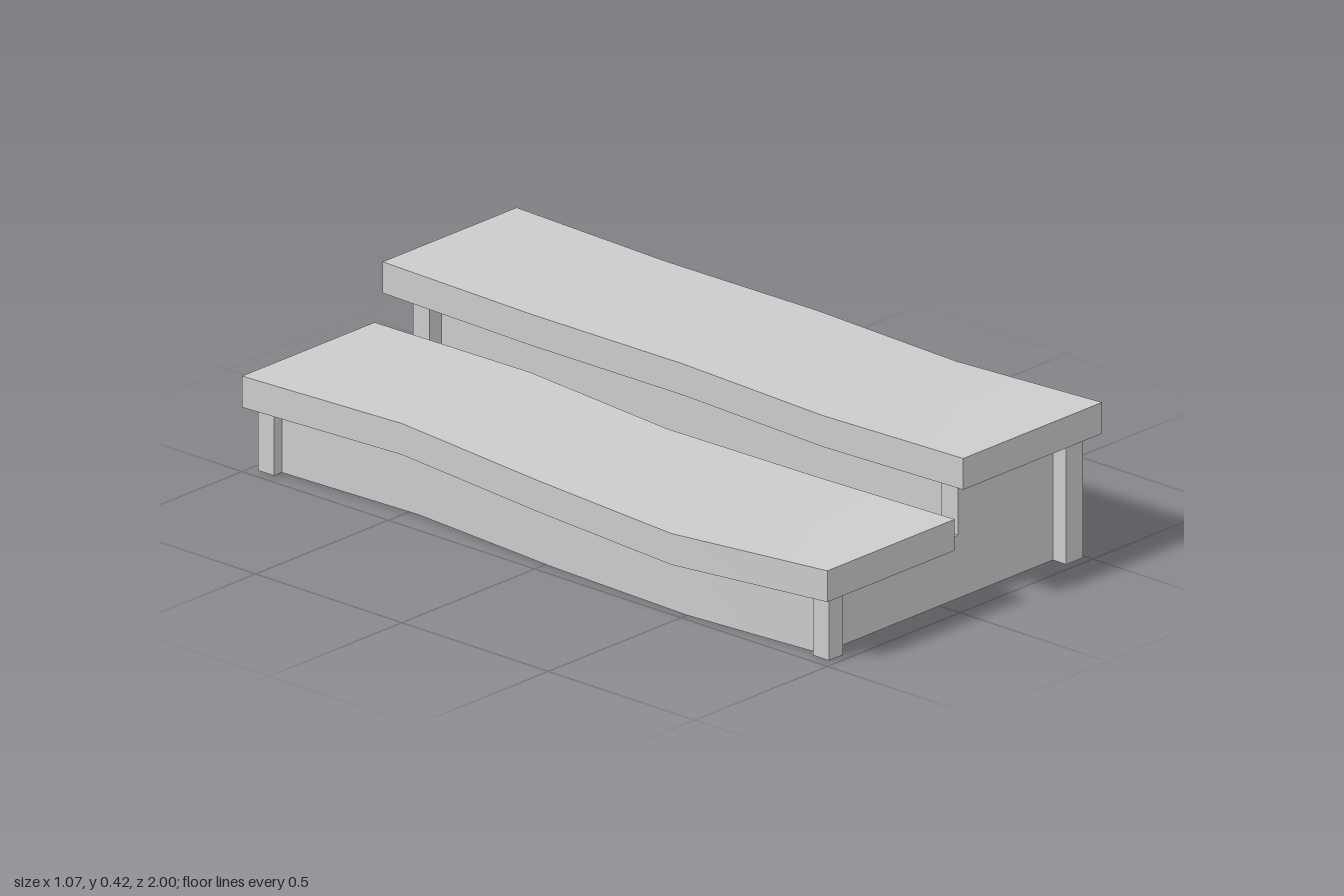
import * as THREE from 'three';
import { toCreasedNormals } from 'three/addons/utils/BufferGeometryUtils.js';

const material = new THREE.MeshStandardMaterial({ color: 0xcccccc });

// Wavy edges sampled at a few stations along the length
const Z = [-1, -0.47, 0.03, 0.5, 1];
const WAVE = {
  upperOuter: [0.535, 0.505, 0.532, 0.535, 0.535],
  upperInner: [0.03, 0.005, 0.03, 0.03, 0.012],
  lowerOuter: [-0.5, -0.48, -0.52, -0.537, -0.5],
  lowerInner: [0, 0, -0.035, 0, -0.02],
  height: [0.331, 0.336, 0.325, 0.311, 0.331], // underside of the upper board
};
const THICK = 0.085; // board thickness
const DROP = 0.156; // upper board to lower board
const INSET = 0.06; // body set in under the boards

function at(name, z) {
  let i = 0;
  while (i < Z.length - 2 && z > Z[i + 1]) i++;
  return THREE.MathUtils.lerp(WAVE[name][i], WAVE[name][i + 1], (z - Z[i]) / (Z[i + 1] - Z[i]));
}

// Closed solid from counter-clockwise xy sections stacked along z
function loft(name, z0, z1, section) {
  const zs = [z0, ...Z.filter((z) => z > z0 && z < z1), z1];
  const rings = zs.map((z) => section(z));
  const n = rings[0].length;
  const positions = rings.flatMap((ring, k) => ring.flatMap(([x, y]) => [x, y, zs[k]]));
  const index = [];
  for (let k = 0; k < zs.length - 1; k++) {
    for (let i = 0; i < n; i++) {
      const a = k * n + i, b = k * n + (i + 1) % n;
      index.push(a, b, b + n, a, b + n, a + n);
    }
  }
  const caps = (ring) => THREE.ShapeUtils.triangulateShape(ring.map(([x, y]) => new THREE.Vector2(x, y)), []);
  const last = (zs.length - 1) * n;
  for (const [a, b, c] of caps(rings[0])) index.push(c, b, a);
  for (const [a, b, c] of caps(rings[zs.length - 1])) index.push(last + a, last + b, last + c);
  const geometry = new THREE.BufferGeometry();
  geometry.setAttribute('position', new THREE.Float32BufferAttribute(positions, 3));
  geometry.setIndex(index);
  const mesh = new THREE.Mesh(toCreasedNormals(geometry, Math.PI / 6), material);
  mesh.name = name;
  return mesh;
}

// Flat board that follows the wave
function board(name, left, right, drop) {
  return loft(name, -1, 1, (z) => {
    const x0 = at(left, z), x1 = at(right, z), y = at('height', z) - drop;
    return [[x0, y], [x1, y], [x1, y + THICK], [x0, y + THICK]];
  });
}

// Stepped L-shaped section of the body
const bodySection = (riserInset) => (z) => {
  const x0 = at('lowerOuter', z) + INSET, x1 = at('upperOuter', z) - INSET;
  const riser = at('upperInner', z) + riserInset;
  const top = at('height', z), tread = top - DROP;
  return [[x0, 0], [x1, 0], [x1, top], [riser, top], [riser, tread], [x0, tread]];
};

function post(name, x0, x1, z, height) {
  const mesh = new THREE.Mesh(new THREE.BoxGeometry(x1 - x0, height, 0.055), material);
  mesh.position.set((x0 + x1) / 2, height / 2, z);
  mesh.name = name;
  return mesh;
}

export function createModel() {
  const group = new THREE.Group();
  group.name = 'steppedBench';

  // Boards
  group.add(board('upperBoard', 'upperInner', 'upperOuter', 0));
  group.add(board('lowerBoard', 'lowerOuter', 'lowerInner', DROP));

  // Body with its end panels
  group.add(loft('body', -0.87, 0.87, bodySection(0.085)));
  group.add(loft('frontPanel', 0.87, 0.93, bodySection(0.055)));
  group.add(loft('backPanel', -0.93, -0.87, bodySection(0.04)));

  // Corner posts
  for (const [end, s] of [['front', 1], ['back', -1]]) {
    group.add(post(end + 'LeftPost', 0.427, 0.491, s * 0.948, 0.329));
    group.add(post(end + 'RightPost', -0.467, -0.414, s * 0.948, 0.173));
  }
  return group;
}
